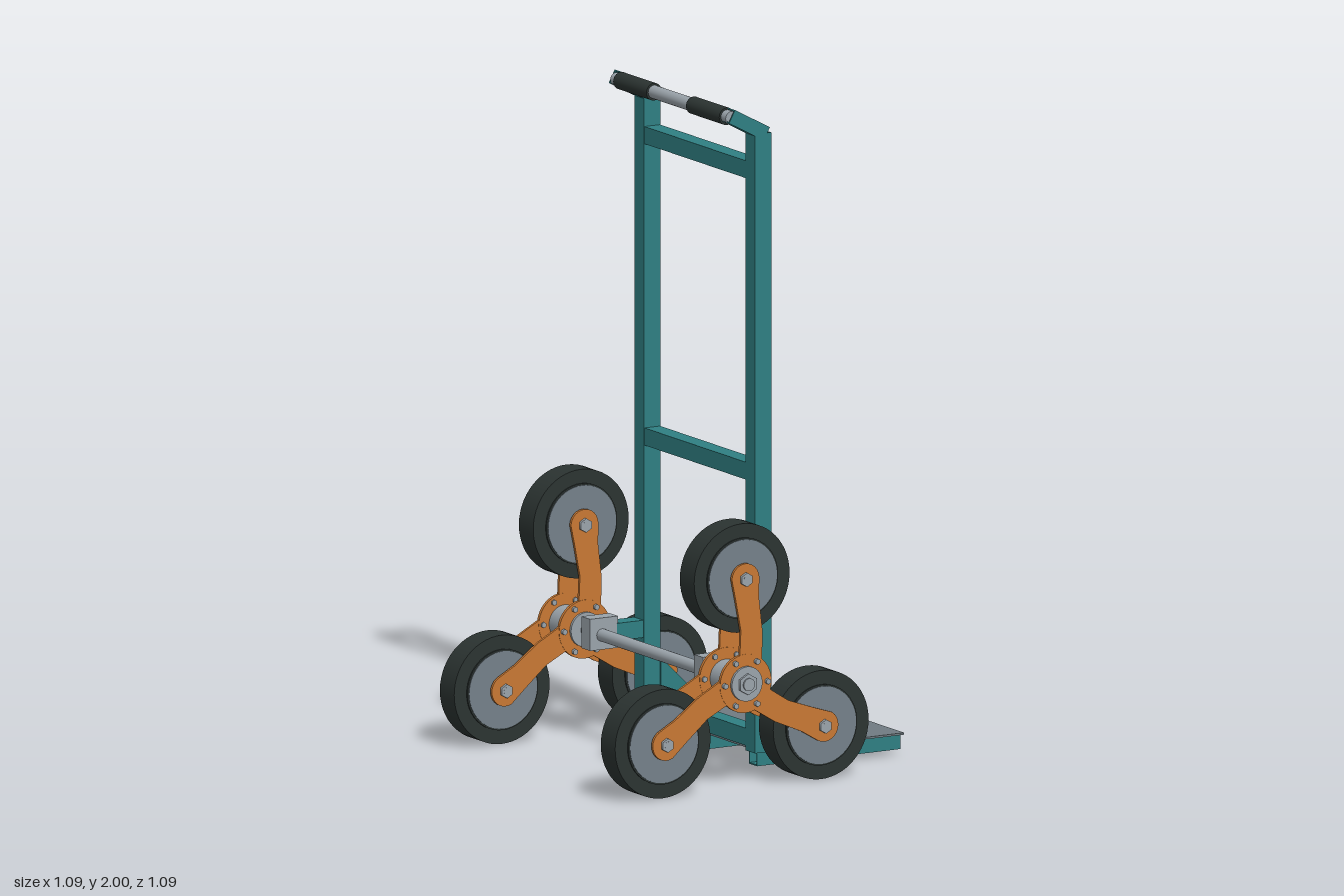
import * as THREE from 'three';

const mat = (name, color) => {
  const m = new THREE.MeshStandardMaterial({ color });
  m.name = name;
  return m;
};

export function createModel() {
  const teal = mat('teal paint', 0x2f7f82);
  const orange = mat('orange paint', 0xc87833);
  const steel = mat('light steel', 0x9aa3aa);
  const rimGrey = mat('rim grey', 0x74808a);
  const plateGrey = mat('plate grey', 0x707b82);
  const rubber = mat('black rubber', 0x2b3331);

  const root = new THREE.Group();
  root.name = 'stairClimbingHandTruck';

  const add = (parent, name, geo, material, x = 0, y = 0, z = 0) => {
    const m = new THREE.Mesh(geo, material);
    m.name = name;
    m.position.set(x, y, z);
    parent.add(m);
    return m;
  };
  const box = (w, h, d) => new THREE.BoxGeometry(w, h, d);
  // Cylinder lying along z
  const rod = (r, len, seg = 40) => new THREE.CylinderGeometry(r, r, len, seg).rotateX(Math.PI / 2);
  // Open square tube along z, centred
  const tube = (w, h, len, t = 0.004) => {
    const s = new THREE.Shape();
    s.moveTo(-w / 2, -h / 2).lineTo(w / 2, -h / 2).lineTo(w / 2, h / 2).lineTo(-w / 2, h / 2).closePath();
    const a = w / 2 - t, b = h / 2 - t;
    const hole = new THREE.Path();
    hole.moveTo(-a, -b).lineTo(-a, b).lineTo(a, b).lineTo(a, -b).closePath();
    s.holes.push(hole);
    return new THREE.ExtrudeGeometry(s, { depth: len, bevelEnabled: false }).translate(0, 0, -len / 2);
  };

  // Frame
  const frame = new THREE.Group();
  frame.name = 'frame';
  root.add(frame);
  for (const y of [0.105, 0.902, 1.805]) add(frame, 'crossRail', box(0.054, 0.052, 0.582), teal, 0.052, y, 0);

  const gusset = new THREE.Shape();
  gusset.moveTo(0.078, 0.066).lineTo(0.24, 0.066).lineTo(0.24, 0.078).lineTo(0.09, 0.225).lineTo(0.078, 0.225).closePath();

  for (const s of [-1, 1]) {
    const z = s * 0.317;
    add(frame, 'post', tube(0.056, 0.054, 1.855).rotateX(-Math.PI / 2), teal, 0.052, 0.9925, z);
    // Handle stub leaning backwards
    const stub = add(frame, 'handleStub', tube(0.054, 0.043, 0.135).rotateY(Math.PI / 2), teal, 0.005, 1.949, z);
    stub.rotation.z = -0.49;
    add(frame, 'gusset', new THREE.ExtrudeGeometry(gusset, { depth: 0.006, bevelEnabled: false }), teal, 0, 0, s * 0.288 - 0.003);
    // Axle mounting
    add(frame, 'axleArm', box(0.09, 0.052, 0.054), teal, -0.02, 0.325, s * 0.322);
    add(frame, 'bearingBlock', box(0.095, 0.095, 0.05), steel, -0.109, 0.325, s * 0.322);
    add(frame, 'grip', rod(0.026, 0.19), rubber, -0.048, 1.974, s * 0.208);
  }
  add(frame, 'handleBar', rod(0.02, 0.66), steel, -0.048, 1.974, 0);

  // Toe plate on three open rails
  add(root, 'toePlate', box(0.492, 0.006, 0.66), plateGrey, 0.296, 0.067, 0);
  for (const z of [-0.288, 0, 0.288])
    add(root, 'toeRail', tube(0.047, 0.046, 0.49).rotateY(Math.PI / 2), teal, 0.295, 0.041, z);

  // Wheel clusters
  const hubX = -0.115, hubY = 0.321, reach = 0.312;
  add(root, 'axle', rod(0.019, 1.09), steel, hubX, hubY, 0);

  // Three swept arms as one outline
  const spider = new THREE.Shape();
  const pts = [];
  for (let k = 0; k < 3; k++) {
    const a = Math.PI / 2 + k * Math.PI * 2 / 3;
    const put = (u, v) => pts.push(new THREE.Vector2(
      u * Math.cos(a) - v * Math.sin(a), u * Math.sin(a) + v * Math.cos(a)));
    put(0.07, -0.056);
    put(0.15, -0.058);
    put(0.25, -0.046);
    for (let i = 0; i <= 12; i++) {
      const t = -1.5 + i * 0.25;
      put(reach + 0.047 * Math.cos(t), 0.047 * Math.sin(t));
    }
    put(0.25, 0.033);
    put(0.16, 0.016);
    put(0.07, 0.02);
  }
  spider.setFromPoints(pts);
  const spiderGeo = new THREE.ExtrudeGeometry(spider, { depth: 0.009, bevelEnabled: false }).translate(0, 0, -0.0045);

  for (const s of [-1, 1]) {
    const cluster = new THREE.Group();
    cluster.name = s > 0 ? 'leftWheelCluster' : 'rightWheelCluster';
    cluster.position.set(hubX, hubY, s * 0.46);
    root.add(cluster);

    for (const side of [-1, 1]) {
      const z = side * 0.058;
      add(cluster, 'spiderPlate', spiderGeo, orange, 0, 0, z);
      add(cluster, 'spiderHub', rod(0.088, 0.011), orange, 0, 0, z);
      add(cluster, 'hubFlange', rod(0.052, 0.012), steel, 0, 0, side * 0.066);
      for (let i = 0; i < 6; i++) {
        const a = i * Math.PI / 3;
        add(cluster, 'hubBolt', rod(0.009, 0.026, 6), steel, 0.073 * Math.cos(a), 0.073 * Math.sin(a), side * 0.06);
      }
    }
    add(cluster, 'hubBarrel', rod(0.053, 0.11), steel);
    add(cluster, 'axleNut', rod(0.032, 0.016, 6), steel, 0, 0, s * 0.072);

    for (let k = 0; k < 3; k++) {
      const a = Math.PI / 2 + k * Math.PI * 2 / 3;
      const wheel = new THREE.Group();
      wheel.name = 'wheel';
      wheel.position.set(reach * Math.cos(a), reach * Math.sin(a), 0);
      cluster.add(wheel);
      add(wheel, 'tyre', rod(0.163, 0.082, 56), rubber);
      add(wheel, 'tyreSidewall', rod(0.121, 0.092, 48), rubber);
      add(wheel, 'rim', rod(0.116, 0.096, 48), rimGrey);
      add(wheel, 'wheelPin', rod(0.012, 0.146, 20), steel);
      for (const side of [-1, 1]) add(wheel, 'pinNut', rod(0.021, 0.011, 6), steel, 0, 0, side * 0.067);
    }
  }
  return root;
}
